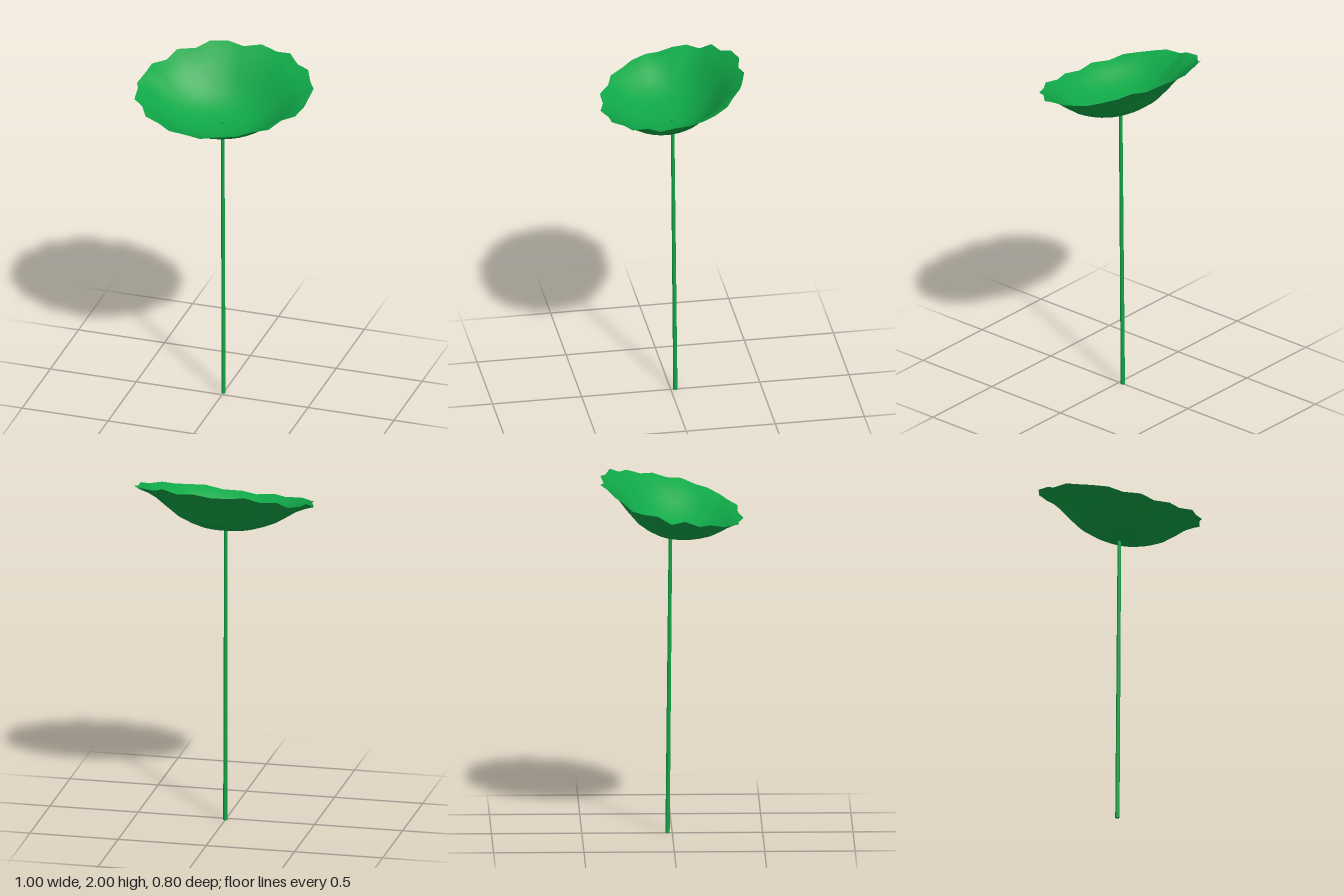
import * as THREE from 'three';

const green = new THREE.MeshStandardMaterial({ color: 0x10a848, side: THREE.DoubleSide });

// Scalloped rim of the leaf: x, y, z, clockwise from the +x side
const RIM = [
  [0.5, 1.93, -0.1], [0.495, 1.905, -0.02], [0.5, 1.9, 0.06], [0.47, 1.87, 0.14],
  [0.41, 1.865, 0.2], [0.36, 1.835, 0.275], [0.28, 1.825, 0.31], [0.2, 1.81, 0.365],
  [0.1, 1.79, 0.365], [0, 1.78, 0.395], [-0.09, 1.775, 0.365], [-0.19, 1.785, 0.365],
  [-0.27, 1.79, 0.305], [-0.355, 1.805, 0.275], [-0.4, 1.825, 0.2], [-0.465, 1.83, 0.14],
  [-0.47, 1.86, 0.06], [-0.5, 1.85, -0.015], [-0.47, 1.89, -0.09], [-0.465, 1.9, -0.17],
  [-0.4, 1.905, -0.23], [-0.355, 1.95, -0.29], [-0.26, 1.955, -0.325], [-0.19, 1.99, -0.37],
  [-0.095, 1.99, -0.4], [0, 1.98, -0.38], [0.1, 2.0, -0.395], [0.2, 1.985, -0.365],
  [0.285, 2.0, -0.34], [0.345, 1.97, -0.285], [0.42, 1.965, -0.245], [0.46, 1.935, -0.165],
];

// Bowl profile: [distance from the middle, share of the rim height]
const PROFILE = [
  [0.12, 0.01], [0.24, 0.04], [0.35, 0.09], [0.46, 0.18], [0.58, 0.31],
  [0.7, 0.52], [0.8, 0.73], [0.9, 0.89], [1, 1],
];
const MIDDLE = new THREE.Vector3(0, 1.677, 0.05);

function leafGeometry() {
  const n = RIM.length;
  const positions = [...MIDDLE];
  const index = [];
  for (const [t, h] of PROFILE) {
    // The bowl is a smooth tilted oval that turns scalloped only near its lip
    const wave = THREE.MathUtils.smoothstep(t, 0.6, 1);
    RIM.forEach((corner, i) => {
      const a = Math.atan2(corner[2] / 0.385, corner[0] / 0.485);
      const p = new THREE.Vector3(
        0.485 * Math.cos(a),
        1.885 + 0.025 * Math.cos(a) - 0.105 * Math.sin(a),
        0.385 * Math.sin(a)
      ).lerp(new THREE.Vector3(...corner), wave);
      positions.push(
        THREE.MathUtils.lerp(MIDDLE.x, p.x, t),
        THREE.MathUtils.lerp(MIDDLE.y, p.y, h),
        THREE.MathUtils.lerp(MIDDLE.z, p.z, t)
      );
    });
  }
  for (let i = 0; i < n; i++) {
    const j = (i + 1) % n;
    index.push(0, 1 + j, 1 + i);
    for (let r = 0; r < PROFILE.length - 1; r++) {
      const a = 1 + r * n, b = a + n;
      index.push(a + i, a + j, b + i, a + j, b + j, b + i);
    }
  }
  const geometry = new THREE.BufferGeometry();
  geometry.setAttribute('position', new THREE.Float32BufferAttribute(positions, 3));
  geometry.setIndex(index);
  geometry.computeVertexNormals();
  return geometry;
}

export function createModel() {
  const model = new THREE.Group();
  model.name = 'lilyPadLeaf';

  // Dished leaf, tilted towards the front
  const leaf = new THREE.Mesh(leafGeometry(), green);
  leaf.name = 'leaf';
  model.add(leaf);

  // Slender stem leaning slightly forward towards the top
  const height = 1.686;
  const stemGeometry = new THREE.CylinderGeometry(0.01, 0.012, height, 8);
  stemGeometry.translate(0, height / 2, 0);
  const pos = stemGeometry.attributes.position;
  for (let i = 0; i < pos.count; i++) {
    pos.setZ(i, pos.getZ(i) - 0.026 + 0.016 * (pos.getY(i) / height));
  }
  const stem = new THREE.Mesh(stemGeometry, green);
  stem.name = 'stem';
  model.add(stem);

  return model;
}
